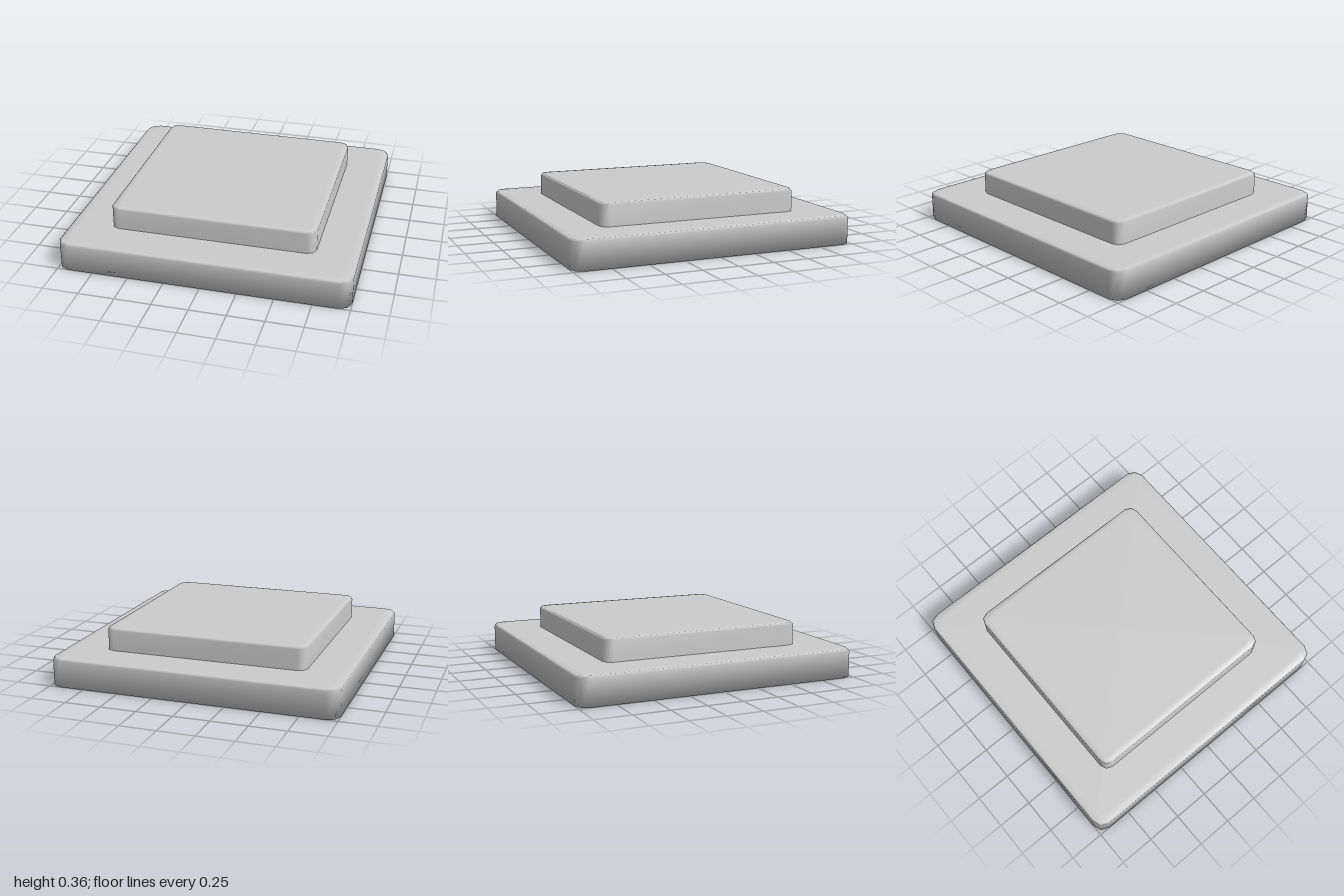
import * as THREE from 'three';

// Outline of a square with softly cut corners, half size h and corner size r
function outline(h, r, y) {
  const c = [[h, h - r], [h - r * 0.29, h - r * 0.29], [h - r, h]];
  const pts = [];
  for (let q = 0; q < 4; q++) {
    const cos = Math.round(Math.cos(q * Math.PI / 2)), sin = Math.round(Math.sin(q * Math.PI / 2));
    for (const [x, z] of c) pts.push([x * cos - z * sin, y, x * sin + z * cos]);
  }
  return pts;
}

// Smooth slab lofted through rings of [half size, corner size, height]
function slab(name, rings, closedBottom) {
  const pos = [], index = [], n = 12;
  for (const [h, r, y] of rings) for (const p of outline(h, r, y)) pos.push(...p);
  for (let k = 0; k < rings.length - 1; k++) {
    for (let i = 0; i < n; i++) {
      const a = k * n + i, b = k * n + (i + 1) % n;
      index.push(a, a + n, b, b, a + n, b + n);
    }
  }
  // Caps fan out from a centre point
  const cap = (ring, up) => {
    const centre = pos.length / 3;
    pos.push(0, rings[ring][2], 0);
    for (let i = 0; i < n; i++) {
      const a = ring * n + i, b = ring * n + (i + 1) % n;
      if (up) index.push(centre, b, a);
      else index.push(centre, a, b);
    }
  };
  cap(rings.length - 1, true);
  if (closedBottom) cap(0, false);

  const geometry = new THREE.BufferGeometry();
  geometry.setAttribute('position', new THREE.Float32BufferAttribute(pos, 3));
  geometry.setIndex(index);
  geometry.computeVertexNormals();
  const mesh = new THREE.Mesh(geometry, new THREE.MeshStandardMaterial({ color: 0xcccccc }));
  mesh.name = name;
  return mesh;
}

export function createModel() {
  const model = new THREE.Group();
  model.name = 'steppedPlinth';
  // Wide lower slab
  model.add(slab('lowerSlab', [
    [1, 0.08, 0], [1, 0.08, 0.185], [0.988, 0.075, 0.198], [0.94, 0.05, 0.2],
  ], true));
  // Smaller slab resting on it
  model.add(slab('upperSlab', [
    [0.713, 0.06, 0.2], [0.713, 0.06, 0.343], [0.702, 0.055, 0.357], [0.665, 0.04, 0.36],
  ], false));
  return model;
}
